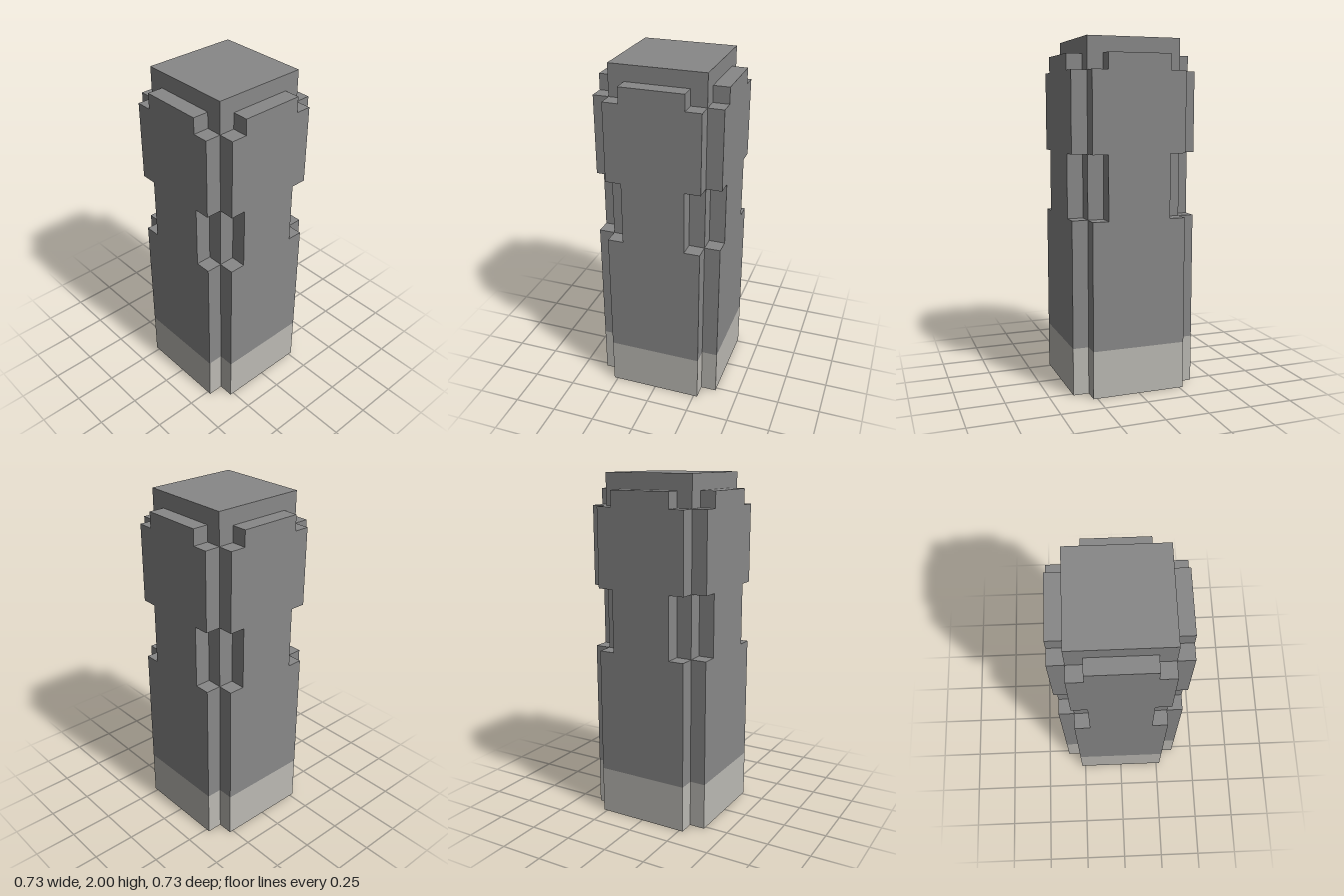
import * as THREE from 'three';

const U = 1 / 11; // one block unit: the pillar is 22 units tall

function polygon(Type, points) {
  return new Type(points.map(([x, y]) => new THREE.Vector2(x * U, y * U)));
}

// Plus-shaped outline with arms reaching a and half-width b
function cross(a, b) {
  return [
    [a, -b], [a, b], [b, b], [b, a], [-b, a], [-b, b],
    [-a, b], [-a, -b], [-b, -b], [-b, -a], [b, -a], [b, -b],
  ];
}

export function createModel() {
  const group = new THREE.Group();
  const stone = new THREE.MeshStandardMaterial({ color: 0x888888 });
  const paleStone = new THREE.MeshStandardMaterial({ color: 0xbbb9b3 });

  // Pale foot with a cross-shaped socket; its underside is dark stone
  const footShape = polygon(THREE.Shape, cross(4, 3));
  footShape.holes.push(polygon(THREE.Path, cross(2, 1).reverse()));
  const footGeometry = new THREE.ExtrudeGeometry(footShape, { depth: 3 * U, bevelEnabled: false });
  footGeometry.rotateX(-Math.PI / 2);
  const foot = new THREE.Mesh(footGeometry, [stone, paleStone]);
  foot.name = 'foot';
  group.add(foot);

  // Square core standing on the foot
  const core = new THREE.Mesh(new THREE.BoxGeometry(6 * U, 19 * U, 6 * U), stone);
  core.position.y = 12.5 * U;
  core.name = 'core';
  group.add(core);

  // Notched facing slab, one on each side
  const half = [[3, 3], [3, 11], [2, 11], [2, 15], [3, 15], [3, 20], [2, 20], [2, 21]];
  const outline = [...half, ...half.map(([x, y]) => [-x, y]).reverse()];
  const slabGeometry = new THREE.ExtrudeGeometry(polygon(THREE.Shape, outline), {
    depth: U, bevelEnabled: false,
  });
  slabGeometry.translate(0, 0, 3 * U);
  ['frontSlab', 'leftSlab', 'backSlab', 'rightSlab'].forEach((name, i) => {
    const slab = new THREE.Mesh(slabGeometry, stone);
    slab.rotation.y = i * Math.PI / 2;
    slab.name = name;
    group.add(slab);
  });

  return group;
}
